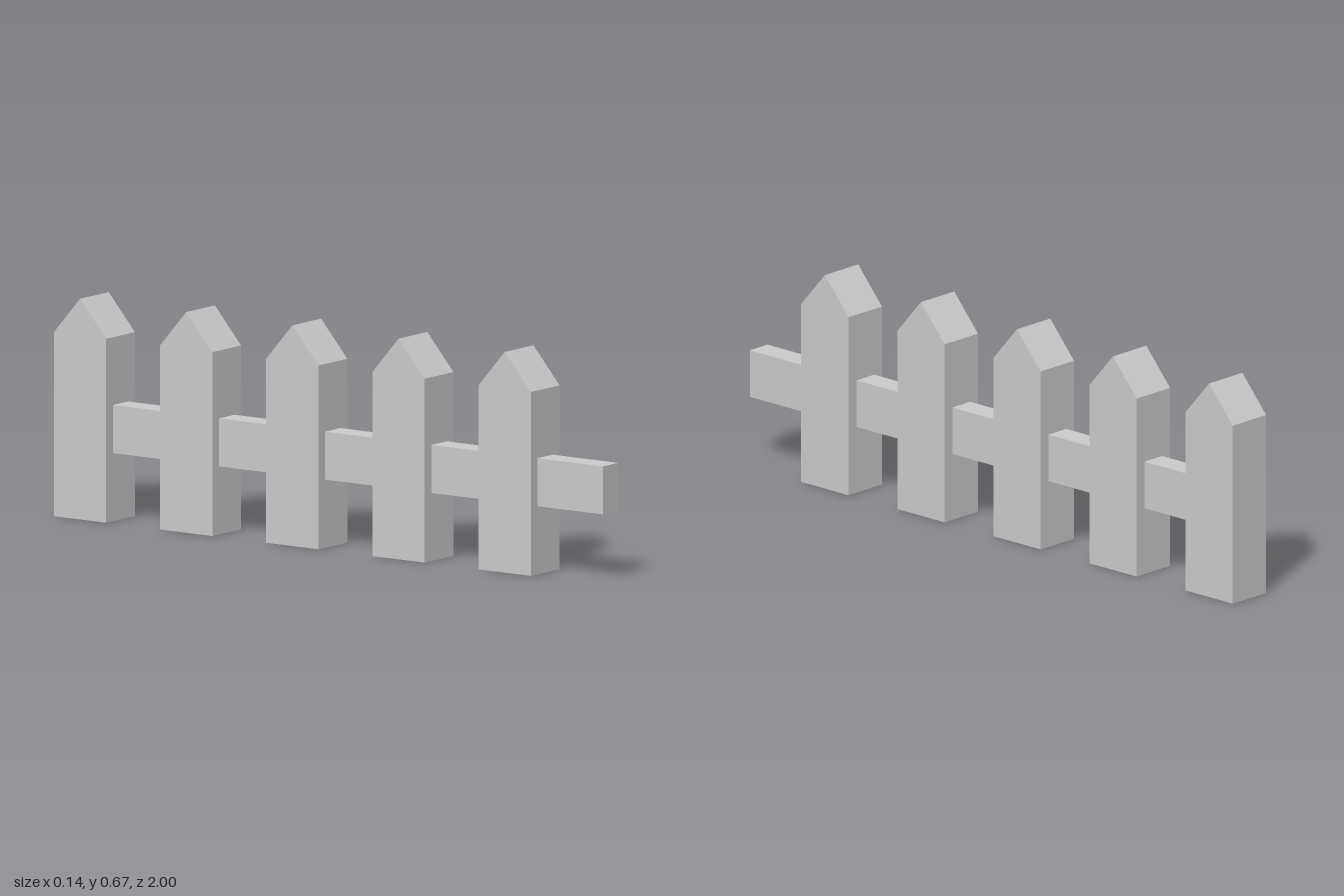
import * as THREE from 'three';

const PICKET = { width: 0.193, depth: 0.145, shoulder: 0.555, height: 0.666 };
const COUNT = 5;
const FIRST_Z = 0.6625;
const SPACING = 0.3915;

export function createModel() {
  const fence = new THREE.Group();
  fence.name = 'picketFence';
  const material = new THREE.MeshStandardMaterial({ color: 0xcccccc, flatShading: true });

  // Pointed board outline, extruded across the fence
  const w = PICKET.width / 2;
  const outline = new THREE.Shape();
  outline.moveTo(-w, 0);
  outline.lineTo(w, 0);
  outline.lineTo(w, PICKET.shoulder);
  outline.lineTo(0, PICKET.height);
  outline.lineTo(-w, PICKET.shoulder);
  outline.closePath();
  const picketGeometry = new THREE.ExtrudeGeometry(outline, { depth: PICKET.depth, bevelEnabled: false });
  picketGeometry.translate(0, 0, -PICKET.depth / 2);
  picketGeometry.rotateY(Math.PI / 2);

  // Evenly spaced pickets, front to back
  for (let i = 0; i < COUNT; i++) {
    const picket = new THREE.Mesh(picketGeometry, material);
    picket.name = `picket${i + 1}`;
    picket.position.z = FIRST_Z - i * SPACING;
    fence.add(picket);
  }

  // Rail through the pickets: sticks out in front, ends inside the last picket
  const railFront = 1;
  const railBack = -0.9;
  const rail = new THREE.Mesh(new THREE.BoxGeometry(0.077, 0.145, railFront - railBack), material);
  rail.name = 'rail';
  rail.position.set(0, 0.278, (railFront + railBack) / 2);
  fence.add(rail);

  return fence;
}
